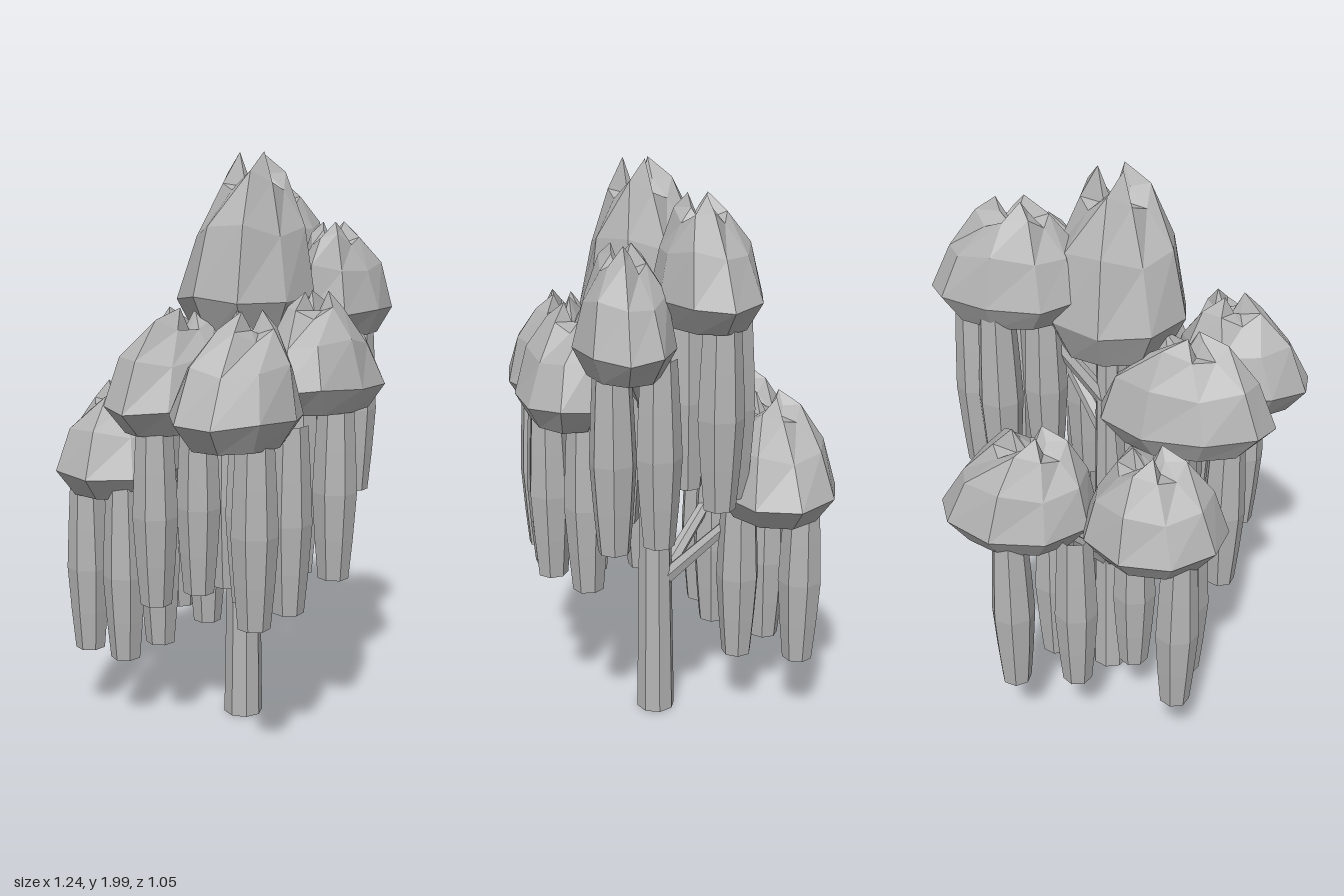
import * as THREE from 'three';

const SIDES = 9;

// Flat underside, wide rim, domed sides and jagged tip:
// [height share, outline scale, pull towards the peak, jaggedness]
const LEVELS = [[0, 0.72, 0, 0], [0.22, 1, 0, 0.02], [0.6, 0.79, 0.4, 0.04], [0.86, 0.45, 0.9, 0.06], [0.92, 0.2, 1, 0.11]];

// Faceted clump on an oval rim, with a dip in the middle of the tip
function clumpGeometry({ base, height, centre: [cx, cz], radius: [rx, rz], turn, peak: [px, pz] }) {
  const pos = [], index = [];
  LEVELS.forEach(([share, scale, pull, jag], k) => {
    for (let i = 0; i < SIDES; i++) {
      const angle = turn + (i / SIDES) * Math.PI * 2;
      const wobble = jag * Math.sin(i * 2.1 + k * 1.3 + cx * 9);
      const r = k > 1 ? scale * (1 + wobble) : scale;
      pos.push(
        cx + (px - cx) * pull + Math.cos(angle) * rx * r,
        base + height * (share + wobble),
        cz + (pz - cz) * pull + Math.sin(angle) * rz * r);
    }
  });
  const last = (LEVELS.length - 1) * SIDES, bottom = LEVELS.length * SIDES, top = bottom + 1;
  pos.push(cx, base, cz, px, base + height * 0.78, pz);
  for (let i = 0; i < SIDES; i++) {
    const j = (i + 1) % SIDES;
    index.push(bottom, i, j, top, last + j, last + i);
    for (let k = 0; k < last; k += SIDES) {
      const a = k + i, b = k + j;
      index.push(a, a + SIDES, b, b, a + SIDES, b + SIDES);
    }
  }
  const geometry = new THREE.BufferGeometry();
  geometry.setAttribute('position', new THREE.Float32BufferAttribute(pos, 3));
  geometry.setIndex(index);
  const flat = geometry.toNonIndexed();
  flat.computeVertexNormals();
  return flat;
}

export function createModel() {
  const model = new THREE.Group();
  model.name = 'weepingTree';
  const grey = new THREE.MeshStandardMaterial({ color: 0xb4b4b4, flatShading: true });
  grey.name = 'grey';

  const add = (name, geometry, parent) => {
    const mesh = new THREE.Mesh(geometry, grey);
    mesh.name = name;
    parent.add(mesh);
    return mesh;
  };

  // Tapering trunk
  add('trunk', new THREE.CylinderGeometry(0.045, 0.07, 1.5, 8), model).position.set(0.027, 0.75, 0.05);

  // Hanging strand, bulging in the middle and closed at the bottom
  const strandProfile = [[0, 0], [0.053, 0], [0.066, 0.14], [0.077, 0.3], [0.07, 0.45], [0.06, 0.62]];
  const strandGeometry = new THREE.LatheGeometry(strandProfile.map(([r, y]) => new THREE.Vector2(r, y)), 7);

  // One clump of foliage with its strands, each hung at an [x, z] spot
  const addClump = (name, shape, ...spots) => {
    const group = new THREE.Group();
    group.name = name;
    model.add(group);
    add('foliage', clumpGeometry(shape), group);
    spots.forEach(([x, z], i) => {
      const strand = add('hangingStrand', strandGeometry, group);
      strand.position.set(x, shape.base - 0.575, z);
      strand.rotation.y = x * 10 + i * 1.7;
    });
    return group;
  };

  // Thin branch from the trunk up into a clump
  const addBranch = (group, { base, peak }) => {
    const from = new THREE.Vector3(0.03, base - 0.34, 0.04);
    const to = new THREE.Vector3(peak[0], base + 0.05, peak[1]);
    const along = to.clone().sub(from);
    const branch = add('branch', new THREE.CylinderGeometry(0.018, 0.03, along.length(), 6), group);
    branch.position.copy(from).add(to).multiplyScalar(0.5);
    branch.quaternion.setFromUnitVectors(new THREE.Vector3(0, 1, 0), along.normalize());
  };

  const addBranchedClump = (name, shape, ...spots) => addBranch(addClump(name, shape, ...spots), shape);

  // Crown, directly over the trunk
  addClump('crownClump',
    { base: 1.38, height: 0.6, centre: [0.015, 0.07], radius: [0.255, 0.23], turn: 3.3, peak: [0.02, 0.1] },
    [-0.08, 0.01], [0.02, 0.2]);

  // Low clumps at the back
  addBranchedClump('backRightClump',
    { base: 0.83, height: 0.38, centre: [-0.22, -0.31], radius: [0.25, 0.225], turn: -1.3, peak: [-0.2, -0.31] },
    [-0.32, -0.38], [-0.32, -0.21], [-0.13, -0.21]);
  addBranchedClump('backLeftClump',
    { base: 0.83, height: 0.39, centre: [0.25, -0.31], radius: [0.275, 0.215], turn: -0.05, peak: [0.2, -0.31] },
    [0.25, -0.42], [0.04, -0.36], [0.16, -0.22]);

  // Clumps at either side
  addBranchedClump('middleRightClump',
    { base: 1.09, height: 0.4, centre: [-0.255, -0.02], radius: [0.31, 0.175], turn: 3, peak: [-0.24, -0.01] },
    [-0.4, 0], [-0.22, 0.04], [-0.1, 0.07]);
  addBranchedClump('middleLeftClump',
    { base: 1.51, height: 0.39, centre: [0.345, -0.045], radius: [0.265, 0.175], turn: -0.1, peak: [0.32, -0.03] },
    [0.465, -0.06], [0.24, -0.01], [0.36, -0.13]);

  // Clumps at the front
  addBranchedClump('frontRightClump',
    { base: 1.09, height: 0.4, centre: [-0.39, 0.325], radius: [0.25, 0.19], turn: 2.75, peak: [-0.33, 0.32] },
    [-0.4, 0.4], [-0.21, 0.4], [-0.2, 0.23]);
  addBranchedClump('frontCentreClump',
    { base: 1.15, height: 0.38, centre: [0.065, 0.365], radius: [0.275, 0.165], turn: 0.33, peak: [0.04, 0.33] },
    [0.035, 0.42], [0.19, 0.32], [0.03, 0.28]);
  addBranchedClump('frontLeftClump',
    { base: 1.37, height: 0.39, centre: [0.365, 0.225], radius: [0.255, 0.16], turn: 0.17, peak: [0.33, 0.22] },
    [0.41, 0.27], [0.39, 0.12], [0.15, 0.19]);

  return model;
}
